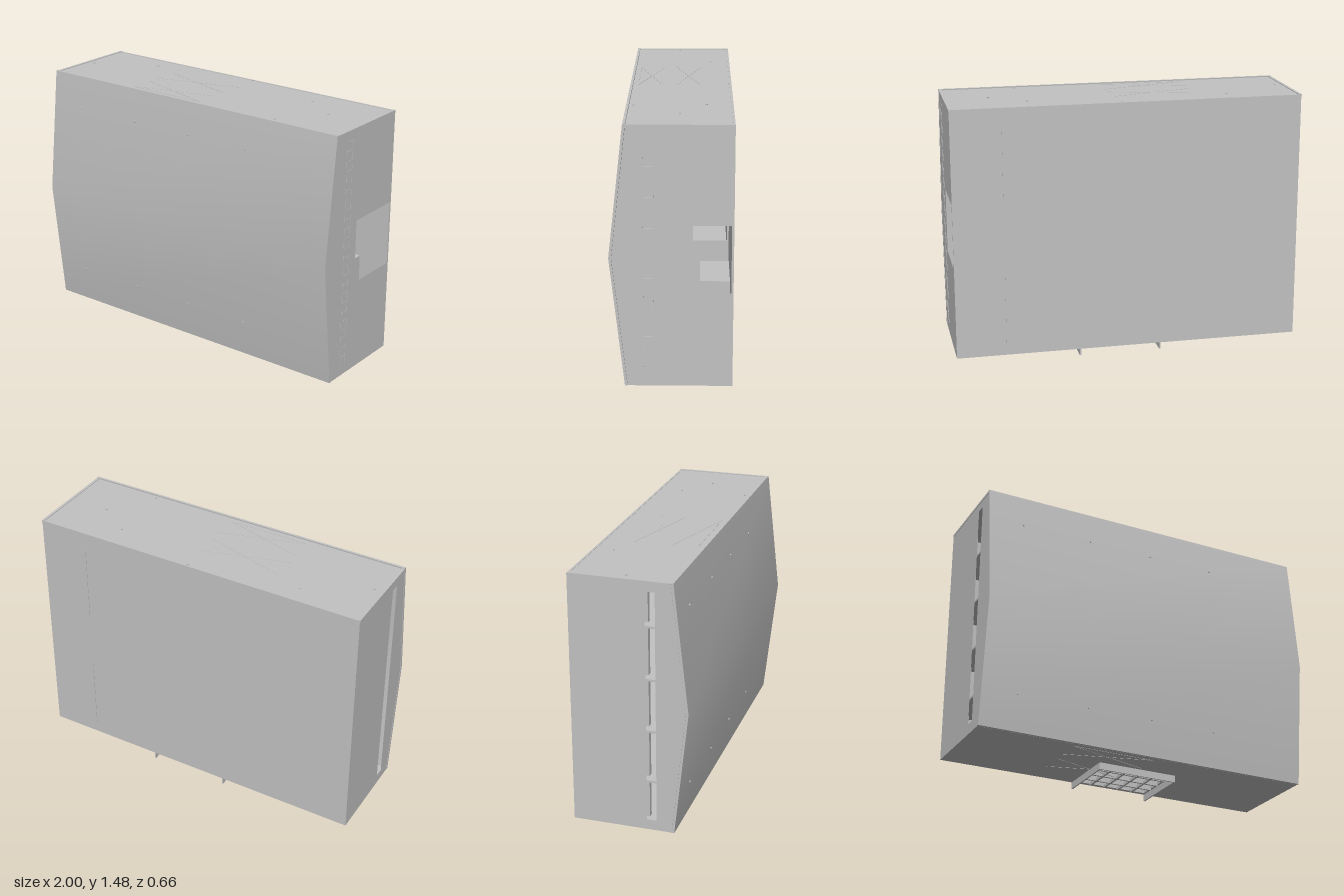
import * as THREE from 'three';

const BOTTOM = 0.04, TOP = 1.48, MID = 0.76, BACK = -0.325, T = 0.012;

export function createModel() {
  const model = new THREE.Group();
  const grey = new THREE.MeshStandardMaterial({ color: 0xc2c2c2 });
  grey.name = 'light grey';

  const add = (name, geometry, parent = model) => {
    const mesh = new THREE.Mesh(geometry, grey);
    mesh.name = name;
    parent.add(mesh);
    return mesh;
  };
  // Box given by its lower and upper limits on each axis
  const block = (name, x0, x1, y0, y1, z0, z1, parent) => {
    const mesh = add(name, new THREE.BoxGeometry(x1 - x0, y1 - y0, z1 - z0), parent);
    mesh.position.set((x0 + x1) / 2, (y0 + y1) / 2, (z0 + z1) / 2);
    return mesh;
  };
  const group = (name) => {
    const g = new THREE.Group();
    g.name = name;
    model.add(g);
    return g;
  };
  const rect = (a0, a1, b0, b1) => new THREE.Path([
    new THREE.Vector2(a0, b0), new THREE.Vector2(a0, b1),
    new THREE.Vector2(a1, b1), new THREE.Vector2(a1, b0),
  ]);
  // Distance of the bowed front from its top and bottom edges
  const bow = (y) => 0.08 * (1 - Math.abs(y - MID) / 0.72);

  // Bowed front panel, smooth over its height
  const front = new THREE.BoxGeometry(2, TOP - BOTTOM, 0.014, 1, 2, 1);
  front.translate(0, MID, 0.243);
  const p = front.attributes.position;
  for (let i = 0; i < p.count; i++) p.setZ(i, p.getZ(i) + bow(p.getY(i)));
  front.computeVertexNormals();
  add('frontPanel', front);

  // Side walls follow the bow and carry their openings
  const sideWall = (name, x, holes) => {
    const s = new THREE.Shape();
    s.moveTo(-BACK, BOTTOM);
    s.lineTo(-0.235, BOTTOM);
    s.lineTo(-0.315, MID);
    s.lineTo(-0.235, TOP - 0.004);
    s.lineTo(-BACK, TOP - 0.004);
    s.closePath();
    s.holes.push(...holes);
    const g = new THREE.ExtrudeGeometry(s, { depth: T, bevelEnabled: false });
    g.rotateY(Math.PI / 2); // shape x becomes -z
    g.translate(x, 0, 0);
    add(name, g);
  };
  sideWall('rightSlotWall', -0.998, [rect(-0.15, -0.095, 0.1, 1.42)]);
  sideWall('leftServiceWall', 0.998 - T, [rect(-0.03, 0.313, 0.57, 0.94)]);

  // Back and top panels
  block('backPanel', -0.998, 0.998, BOTTOM, TOP - 0.004, BACK, BACK + T);
  block('topPanel', -0.985, 0.985, TOP - 0.016, TOP - 0.006, BACK, 0.235);
  for (const s of [-1, 1]) {
    block('topSideLip', s * 0.992 - 0.008, s * 0.992 + 0.008, TOP - 0.016, TOP - 0.002, BACK, 0.236);
  }

  // Bottom panel with a square intake opening
  const floor = new THREE.Shape([
    new THREE.Vector2(-0.998, -0.235), new THREE.Vector2(0.998, -0.235),
    new THREE.Vector2(0.998, -BACK), new THREE.Vector2(-0.998, -BACK),
  ]);
  floor.holes.push(rect(-0.17, 0.27, -0.03, 0.3));
  const floorGeo = new THREE.ExtrudeGeometry(floor, { depth: T, bevelEnabled: false });
  floorGeo.rotateX(-Math.PI / 2);
  floorGeo.translate(0, BOTTOM, 0);
  add('bottomPanel', floorGeo);

  // Three-sided duct collar and its grille
  const duct = group('intakeDuct');
  block('ductFront', -0.19, 0.29, 0, BOTTOM, 0.037, 0.045, duct);
  block('ductSide', -0.19, -0.182, 0, BOTTOM, BACK, 0.045, duct);
  block('ductSide', 0.282, 0.29, 0, BOTTOM, BACK, 0.045, duct);
  for (let i = 1; i < 5; i++) {
    const x = -0.17 + 0.088 * i;
    block('grilleBar', x - 0.006, x + 0.006, 0.03, 0.045, -0.3, 0.03, duct);
  }
  for (let i = 1; i < 4; i++) {
    const z = -0.3 + 0.0825 * i;
    block('grilleBar', -0.17, 0.27, 0.03, 0.045, z - 0.006, z + 0.006, duct);
  }

  // Ladder of fine ribs on the left wall
  const ladder = group('ribLadder');
  for (const z of [0.095, 0.15]) block('ladderRail', 0.996, 0.9995, 0.1, 1.42, z - 0.0015, z + 0.0015, ladder);
  for (let i = 0; i < 24; i++) {
    const y = 0.155 + i * 0.055;
    block('ladderRung', 0.996, 0.9995, y - 0.0015, y + 0.0015, 0.095, 0.15, ladder);
  }

  // Crossed stiffening ribs on top and bottom
  const ribs = group('crossRibs');
  for (const y of [TOP - 0.006, BOTTOM]) {
    for (const [z0, z1] of [[-0.15, -0.01], [0.065, 0.205]]) {
      const angle = Math.atan2(z1 - z0, 0.49);
      for (const s of [-1, 1]) {
        const rib = add('crossRib', new THREE.BoxGeometry(0.51, 0.003, 0.004), ribs);
        rib.position.set(-0.185, y, (z0 + z1) / 2);
        rib.rotation.y = s * angle;
      }
    }
    block('edgeRib', -0.43, 0.06, y - 0.0015, y + 0.0015, 0.203, 0.207, ribs);
  }

  // Back seams
  for (const [y0, y1] of [[0.11, 0.56], [0.92, 1.37]]) {
    block('backSeam', 0.708, 0.713, y0, y1, BACK - 0.003, BACK);
  }

  // Small fasteners on the front and top
  const pins = group('fasteners');
  const pin = (x, y, z, tilt) => {
    const m = add('fastener', new THREE.CylinderGeometry(0.006, 0.006, 0.008, 10), pins);
    m.position.set(x, y, z);
    m.rotation.x = tilt;
  };
  for (const x of [-0.79, -0.37, 0.02, 0.42]) {
    for (const y of [0.25, 1.29]) pin(x, y, 0.252 + bow(y), Math.PI / 2);
  }
  for (const [x, z] of [[-0.94, -0.02], [-0.59, -0.21], [0.04, -0.31], [0.55, -0.18], [0.75, -0.04], [0.57, 0.21]]) {
    pin(x, TOP - 0.004, z, 0);
  }

  // Inner partition with a window, shelves and posts behind the openings
  const inner = group('innerFrame');
  const wall = new THREE.Shape([
    new THREE.Vector2(-0.22, 0.06), new THREE.Vector2(0.31, 0.06),
    new THREE.Vector2(0.31, 1.46), new THREE.Vector2(-0.22, 1.46),
  ]);
  wall.holes.push(rect(0.11, 0.3, 0.66, 0.86));
  const wallGeo = new THREE.ExtrudeGeometry(wall, { depth: T, bevelEnabled: false });
  wallGeo.rotateY(Math.PI / 2);
  wallGeo.translate(0.4, 0, 0);
  add('partition', wallGeo, inner);
  block('serviceBlock', 0.5, 0.82, 0.3, 0.57, -0.31, -0.15, inner);
  block('serviceShelf', 0.42, 0.9, 0.92, 0.94, -0.31, -0.09, inner);
  for (const y of [0.3, 0.6, 0.9, 1.2]) block('shelf', -0.95, 0.39, y, y + T, -0.3, 0.2, inner);
  for (const z of [-0.28, 0.05]) block('post', -0.9, -0.87, 0.06, 1.46, z, z + 0.03, inner);

  return model;
}
